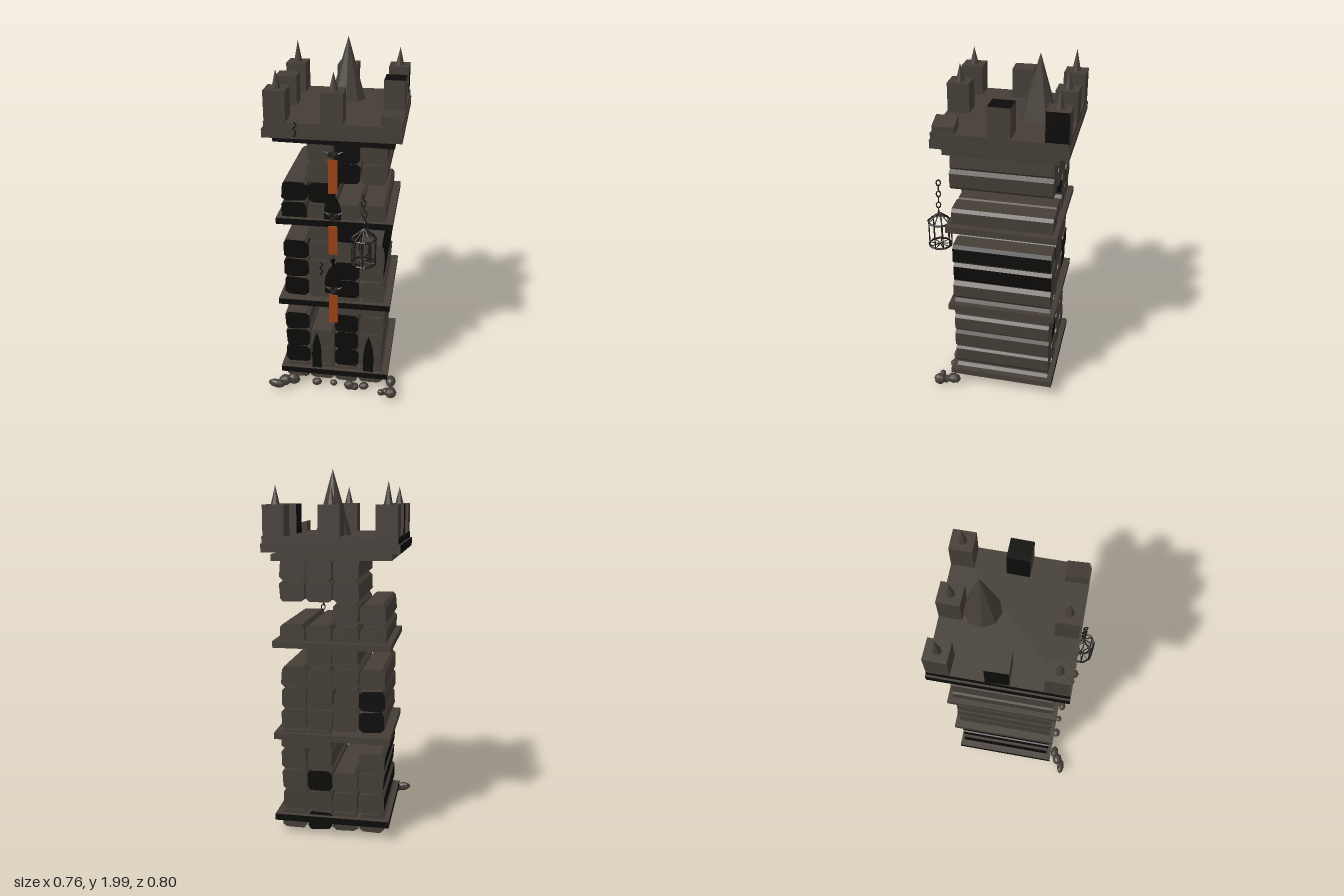
import * as THREE from 'three';

const mat = (name, color, side = THREE.FrontSide) => {
  const m = new THREE.MeshStandardMaterial({ color, side, flatShading: true });
  m.name = name;
  return m;
};

export function createModel() {
  const stone = mat('stone', 0x453e37);
  const dark = mat('dark stone', 0x0c0b0a, THREE.DoubleSide);
  const iron = mat('iron', 0x1f1c19);
  const cloth = mat('banner cloth', 0x9c4316, THREE.DoubleSide);
  const root = new THREE.Group();
  root.name = 'tower';

  let seed = 7;
  const rnd = () => (seed = (seed * 16807) % 2147483647) / 2147483647 - 0.5;

  const add = (name, geo, material, x = 0, y = 0, z = 0, parent = root) => {
    const mesh = new THREE.Mesh(geo, material);
    mesh.name = name;
    mesh.position.set(x, y, z);
    parent.add(mesh);
    return mesh;
  };

  // Sort faces into stone and dark groups by the direction they face
  const DIR = { R: [1, 0, 0], L: [-1, 0, 0], U: [0, 1, 0], F: [0, 0, 1], B: [0, 0, -1] };
  const paint = (geo, sides) => {
    const g = geo.index ? geo.toNonIndexed() : geo;
    g.clearGroups();
    const p = g.attributes.position, t = new THREE.Triangle(), n = new THREE.Vector3();
    for (let i = 0; i < p.count; i += 3) {
      t.setFromAttributeAndIndices(p, i, i + 1, i + 2).getNormal(n);
      const hit = [...sides].some(s => n.dot(new THREE.Vector3(...DIR[s])) > 0.8);
      g.addGroup(i, 3, hit ? 1 : 0);
    }
    return g;
  };
  const addPainted = (name, geo, sides, x, y, z) =>
    add(name, sides ? paint(geo, sides) : geo, sides ? [stone, dark] : stone, x, y, z);

  // Bars with worn corners running from front to back
  const barGeometry = (w, h, d) => {
    const c = 0.018, a = w / 2, b = h / 2;
    const pts = [[-a + c, -b], [a - c, -b], [a, -b + c], [a, b - c], [a - c, b], [-a + c, b], [-a, b - c], [-a, -b + c]];
    const shape = new THREE.Shape(pts.map(([x, y]) => new THREE.Vector2(x + rnd() * 0.008, y + rnd() * 0.008)));
    return new THREE.ExtrudeGeometry(shape, { depth: d, bevelEnabled: false }).translate(0, 0, -d / 2);
  };

  // Courses from the bottom up: '.' gap, 's' stone, 'd' dark front
  const courses = ['ssss', 'dsds', 'dsds', 'd.ds', '..ss', 'dsds', 'dsds', 'dsss', '.sd.', 'dsss', 'dd..', '.sds', '.sds'];
  const darkRight = [6, 7, 8, 10];
  const darkBack = ['0,5', '0,6', '2,0', '2,2'];
  const columnX = [-0.217, -0.073, 0.07, 0.21];
  courses.forEach((row, r) => [...row].forEach((k, c) => {
    if (k === '.') return;
    let sides = k === 'd' ? 'F' : '';
    if (darkRight.includes(r)) sides += 'R';
    if (c === 0 && r < 4) sides += 'L';
    if (darkBack.includes(`${c},${r}`)) sides += 'B';
    const geo = barGeometry(0.136, r ? 0.112 : 0.1, 0.55 + rnd() * 0.01);
    addPainted('wallBlock', geo, sides, columnX[c] + rnd() * 0.006, 0.095 + r * 0.1162, -0.045 + rnd() * 0.006);
  }));

  // Floor ledges
  [[0.11, 'FLB'], [0.582, 'F'], [1.09, 'F'], [1.555, 'F']].forEach(([y, sides], i) => {
    const ledge = addPainted('ledge', new THREE.BoxGeometry(0.632, 0.036, 0.605), sides, 0, y, -0.047);
    ledge.rotation.z = i === 3 ? -0.018 : 0.004;
  });

  // Crown platform
  addPainted('crownBase', new THREE.BoxGeometry(0.716, 0.045, 0.705), 'L', -0.003, 1.602, -0.047);
  addPainted('crownTop', new THREE.BoxGeometry(0.7, 0.04, 0.695), 'L', 0, 1.641, -0.047);

  // Merlons with spikes: x, z, spike height, dark sides
  const merlons = [
    [-0.292, -0.335, 0.12, ''], [0, -0.335, 0.1, ''], [0.288, -0.335, 0.1, 'R'],
    [-0.292, -0.05, 0, 'L'], [0.288, -0.05, 0, 'UL'],
    [-0.292, 0.235, 0.095, ''], [0, 0.235, 0.095, ''],
  ];
  for (const [x, z, spike, sides] of merlons) {
    const m = addPainted('merlon', new THREE.BoxGeometry(0.112, 0.17, 0.118), sides, x, 1.735, z);
    m.rotation.y = rnd() * 0.06;
    if (spike) {
      add('merlonSpike', new THREE.ConeGeometry(0.024, spike, 7), stone, x, 1.818 + spike / 2, z);
    }
  }
  const broken = new THREE.BoxGeometry(0.1, 0.04, 0.115);
  const bp = broken.attributes.position;
  for (let i = 0; i < bp.count; i++) if (bp.getY(i) > 0 && bp.getX(i) < 0) bp.setY(i, 0.045);
  add('brokenMerlon', broken, stone, 0.292, 1.675, 0.237).rotation.y = 0.05;

  // Central spire
  add('spire', new THREE.ConeGeometry(0.1, 0.345, 9), stone, 0.017, 1.8275, -0.19);

  // Pointed niches and lancets on the front
  const niche = (name, x, y, w, h) => {
    const s = new THREE.Shape();
    s.moveTo(-w / 2, 0);
    s.lineTo(w / 2, 0);
    s.lineTo(w / 2, h * 0.45);
    s.quadraticCurveTo(w * 0.4, h * 0.8, 0, h);
    s.quadraticCurveTo(-w * 0.4, h * 0.8, -w / 2, h * 0.45);
    add(name, new THREE.ExtrudeGeometry(s, { depth: 0.008, bevelEnabled: false, curveSegments: 4 }), dark, x, y, 0.232);
  };
  niche('niche', -0.008, 1.1, 0.09, 0.155);
  niche('niche', -0.008, 0.65, 0.09, 0.175);
  niche('lancet', -0.105, 0.12, 0.055, 0.25);
  niche('lancet', 0.2, 0.12, 0.06, 0.25);

  // Banners, each under a carved knot
  for (const [top, bottom, knot] of [[1.46, 1.27, 1.475], [1.08, 0.91, 1.13], [0.65, 0.47, 0.67]]) {
    add('banner', new THREE.BoxGeometry(0.05, top - bottom, 0.006), cloth, -0.002, (top + bottom) / 2, 0.259);
    const carving = new THREE.Group();
    carving.name = 'carvedKnot';
    carving.position.set(-0.003, knot, 0.238);
    root.add(carving);
    for (const s of [-1, 1]) {
      add('knotLobe', new THREE.IcosahedronGeometry(0.016, 0), iron, s * 0.016, 0.006, 0.004, carving);
      const horn = add('knotHorn', new THREE.ConeGeometry(0.009, 0.04, 5), iron, s * 0.038, 0.016, 0.002, carving);
      horn.rotation.z = -s * 1.1;
    }
    add('knotChin', new THREE.IcosahedronGeometry(0.016, 0), iron, 0, -0.016, 0.004, carving);
  }

  // Cracks as thin zigzag strips
  for (const [x, y, z] of [[-0.19, 1.63, 0.307], [-0.075, 0.8, 0.234], [0.185, 0.9, 0.234]]) {
    const w = 0.004, line = [[0, 0.04], [0.012, 0.02], [-0.006, 0.005], [0.01, -0.015], [-0.002, -0.04]];
    const pts = [...line.map(([a, b]) => [a - w, b]), ...line.map(([a, b]) => [a + w, b]).reverse()];
    const shape = new THREE.Shape(pts.map(p => new THREE.Vector2(...p)));
    add('crack', new THREE.ShapeGeometry(shape), dark, x, y, z);
  }

  // Hanging cage
  const cage = new THREE.Group();
  cage.name = 'cage';
  cage.position.set(0.175, 0, 0.33);
  root.add(cage);
  const rod = (name, a, b, r) => {
    const curve = new THREE.LineCurve3(new THREE.Vector3(...a), new THREE.Vector3(...b));
    add(name, new THREE.TubeGeometry(curve, 1, r, 5), iron, 0, 0, 0, cage);
  };
  const R = 0.064, N = 9;
  for (let i = 0; i < N; i++) {
    const a = (i / N) * Math.PI * 2, x = R * Math.sin(a), z = R * Math.cos(a);
    rod('cageBar', [x, 0.91, z], [x, 1.06, z], 0.0035);
    rod('cageRoofBar', [x, 1.06, z], [0, 1.115, 0], 0.0035);
    rod('cageFloorBar', [x, 0.912, z], [0, 0.912, 0], 0.003);
  }
  for (const y of [0.912, 1.058]) {
    add('cageRing', new THREE.TorusGeometry(R, 0.006, 5, N).rotateX(Math.PI / 2), iron, 0, y, 0, cage);
  }
  for (let i = 0; i < 6; i++) {
    const link = add('chainLink', new THREE.TorusGeometry(0.012, 0.0035, 5, 8).scale(1, 1.5, 1), iron,
      0.008 - 0.018 * i / 5, 1.13 + i * 0.032, 0, cage);
    link.rotation.y = (i % 2) * Math.PI / 2 + 0.3;
  }

  // Rubble along the foot: x, y, z, then radii
  const rubble = [
    [-0.33, 0.058, 0.335, 0.05, 0.026, 0.022], [-0.285, 0.065, 0.305, 0.038, 0.034, 0.03],
    [-0.24, 0.06, 0.28, 0.04, 0.035, 0.025], [-0.1, 0.048, 0.27, 0.03, 0.022, 0.025],
    [0, 0.05, 0.27, 0.022, 0.018, 0.02], [0.095, 0.05, 0.28, 0.032, 0.03, 0.022],
    [0.125, 0.036, 0.27, 0.025, 0.022, 0.025], [0.18, 0.05, 0.275, 0.03, 0.022, 0.025],
    [0.285, 0.05, 0.32, 0.02, 0.02, 0.018], [0.343, 0.056, 0.32, 0.034, 0.032, 0.037],
    [0.335, 0.07, 0.235, 0.03, 0.03, 0.042], [0.315, 0.036, 0.29, 0.03, 0.022, 0.025],
  ];
  rubble.forEach(([x, y, z, a, b, c], i) => {
    const rock = add('rubble', new THREE.SphereGeometry(1, 8, 6).scale(a, b, c), stone, x, y, z);
    rock.rotation.z = i % 2 ? 0.2 : -0.15;
  });

  return root;
}
